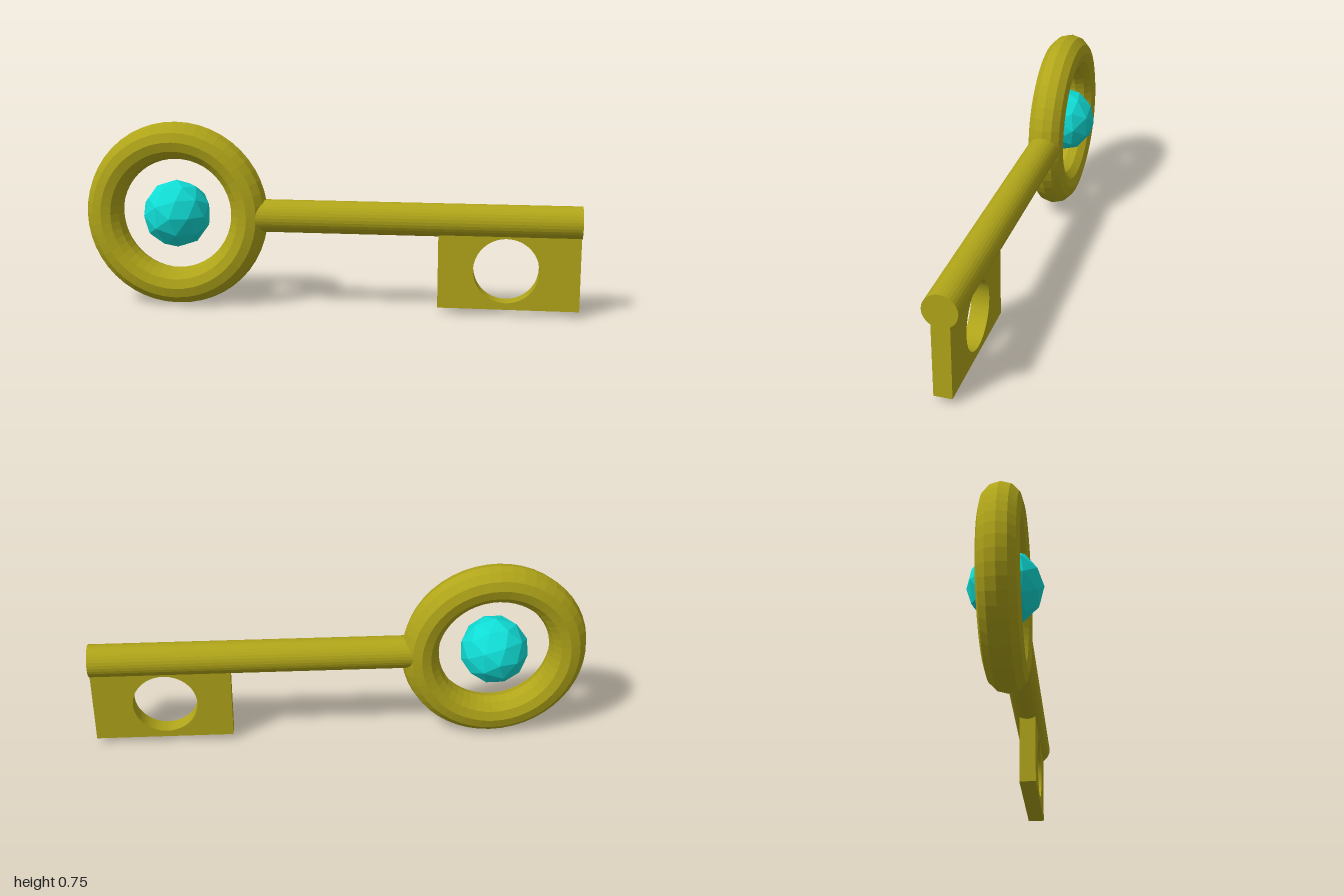
import * as THREE from 'three';

const AXIS_Y = 0.376; // height of the shaft and ring centre
const RING_X = -0.625;

export function createModel() {
  const key = new THREE.Group();
  key.name = 'key';
  const gold = new THREE.MeshStandardMaterial({ color: 0xb0a519, flatShading: true });
  const teal = new THREE.MeshStandardMaterial({ color: 0x10dcd5, flatShading: true });

  const add = (name, geometry, material, x, y, z = 0) => {
    const mesh = new THREE.Mesh(geometry, material);
    mesh.name = name;
    mesh.position.set(x, y, z);
    key.add(mesh);
  };

  // Ring-shaped handle
  add('bow', new THREE.TorusGeometry(0.3, 0.0755, 12, 48), gold, RING_X, AXIS_Y);

  // Faceted gem floating in the ring, one pole facing forward
  const gem = new THREE.IcosahedronGeometry(0.139, 1);
  gem.rotateX(Math.atan(2 / (1 + Math.sqrt(5))));
  gem.rotateZ(Math.PI / 2);
  add('gem', gem, teal, RING_X, AXIS_Y);

  // Round shaft, its left end buried in the ring
  const start = -0.31, end = 1;
  const shaft = new THREE.CylinderGeometry(0.066, 0.066, end - start, 32);
  shaft.rotateZ(-Math.PI / 2);
  add('shaft', shaft, gold, (start + end) / 2, AXIS_Y);

  // Flat bit with a round hole, hanging under the shaft
  const plate = new THREE.Shape();
  plate.moveTo(0.44, 0.025);
  plate.lineTo(0.998, 0.025);
  plate.lineTo(0.998, 0.34);
  plate.lineTo(0.44, 0.34);
  plate.closePath();
  plate.holes.push(new THREE.Path().absarc(0.709, 0.182, 0.13, 0, Math.PI * 2, true));
  const depth = 0.07;
  const bit = new THREE.ExtrudeGeometry(plate, { depth, bevelEnabled: false, curveSegments: 32 });
  add('bit', bit, gold, 0, 0, -depth / 2);

  return key;
}
